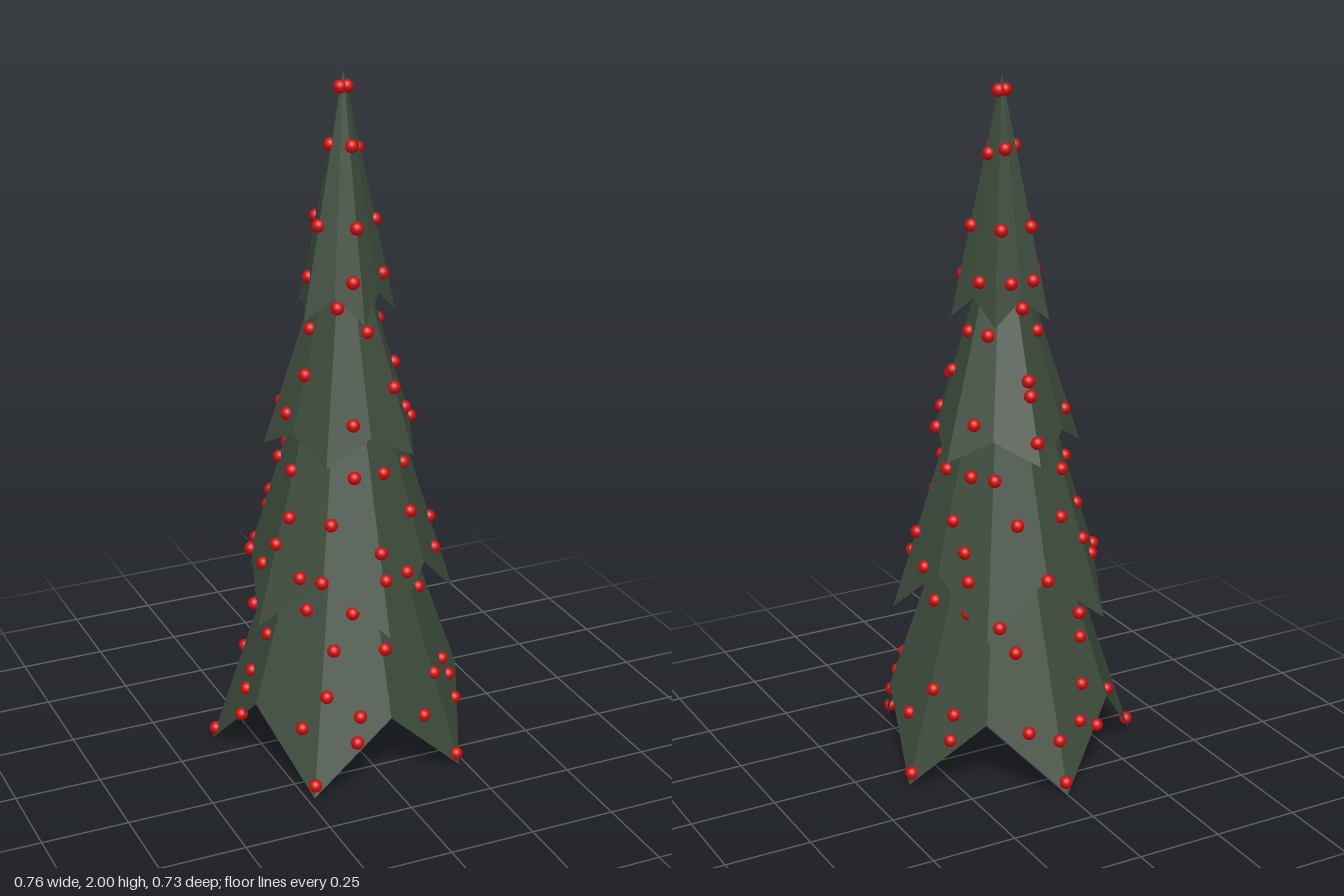
import * as THREE from 'three';

const CENTRE_Z = 0.03;
const STEP = Math.PI / 5;

// Each tier is a five-pointed skirt: low tips alternate with higher notches
const TIERS = [
  { apex: 1.18, tipR: 0.39, tipY: 0.0, notchR: 0.335, notchY: 0.215, turn: 1 },
  { apex: 1.5, tipR: 0.322, tipY: 0.46, notchR: 0.265, notchY: 0.62, turn: 0 },
  { apex: 1.65, tipR: 0.225, tipY: 0.94, notchR: 0.188, notchY: 1.01, turn: 1 },
  { apex: 2.0, tipR: 0.145, tipY: 1.325, notchR: 0.112, notchY: 1.395, turn: 0 },
];

// Bauble rings: height, then angles in degrees from the front towards +x
const RINGS = [
  [1.955, [90, 270]],
  [1.8, [10, 165, 265]],
  [1.785, [90]],
  [1.585, [0, 75, 150, 215, 285]],
  [1.44, [58, 115, 165, 203, 275, 350]],
  [1.37, [180, 328]],
  [1.29, [15, 90, 130, 218, 275]],
  [1.17, [72, 180, 288]],
  [1.13, [35, 180]],
  [1.05, [57, 125, 238, 272, 345]],
  [1.005, [73, 180]],
  [0.895, [15, 48, 90, 122, 145, 215, 250, 285, 346]],
  [0.77, [35, 112, 163, 202, 235, 293, 327]],
  [0.69, [1, 73, 125, 218, 287]],
  [0.615, [2, 20, 62, 92, 130, 180, 235, 252, 275, 308, 323]],
  [0.5, [22, 55, 90, 125, 150, 200, 235, 277, 308, 343]],
  [0.4, [2, 160, 210, 280, 330]],
  [0.275, [37, 55, 110, 202, 272, 327]],
  [0.22, [57, 125, 222, 272, 345]],
  [0.18, [22, 95, 165, 195, 315]],
  [0.15, [55, 125, 180, 205, 275, 343]],
  [0.035, [36, 108, 180, 252, 324]],
];

function tierGeometry(t) {
  const pos = [];
  const rim = (i) => {
    const tip = i % 2 === 0;
    const a = (i + t.turn) * STEP;
    const r = tip ? t.tipR : t.notchR;
    return [r * Math.sin(a), tip ? t.tipY : t.notchY, r * Math.cos(a)];
  };
  for (let i = 0; i < 10; i++) pos.push(0, t.apex, 0, ...rim(i), ...rim(i + 1));
  const geo = new THREE.BufferGeometry();
  geo.setAttribute('position', new THREE.Float32BufferAttribute(pos, 3));
  geo.computeVertexNormals();
  return geo;
}

// Outermost foliage radius at a height and angle
function surfaceRadius(y, angle) {
  let best = 0.01;
  for (const t of TIERS) {
    if (y >= t.apex) continue;
    const turns = (((angle / STEP - t.turn) % 2) + 2) % 2;
    const f = turns > 1 ? 2 - turns : turns; // 0 at a tip, 1 at a notch
    const edgeY = t.tipY + (t.notchY - t.tipY) * f;
    if (y < edgeY - 0.035) continue;
    const rt = t.tipR * (t.apex - y) / (t.apex - t.tipY);
    const rn = t.notchR * (t.apex - y) / (t.apex - t.notchY);
    const r = rt * rn * Math.sin(STEP) /
      (rt * Math.sin(f * STEP) + rn * Math.sin((1 - f) * STEP));
    best = Math.max(best, r);
  }
  return best;
}

export function createModel() {
  const model = new THREE.Group();
  model.name = 'decoratedTree';
  const green = new THREE.MeshStandardMaterial({
    name: 'pine green', color: 0x3c4b3b, flatShading: true, side: THREE.DoubleSide,
  });
  const red = new THREE.MeshStandardMaterial({ name: 'bauble red', color: 0xd00c0c });

  const tree = new THREE.Group();
  tree.name = 'tree';
  tree.position.z = CENTRE_Z;
  model.add(tree);

  // Foliage
  TIERS.forEach((t, i) => {
    const mesh = new THREE.Mesh(tierGeometry(t), green);
    mesh.name = `foliageTier${i + 1}`;
    tree.add(mesh);
  });

  // Baubles, half sunk into the foliage
  const baubles = new THREE.Group();
  baubles.name = 'baubles';
  const ball = new THREE.SphereGeometry(0.019, 16, 12);
  for (const [y, angles] of RINGS) {
    for (const deg of angles) {
      const a = THREE.MathUtils.degToRad(deg);
      const r = surfaceRadius(y, a);
      const mesh = new THREE.Mesh(ball, red);
      mesh.name = 'bauble';
      mesh.position.set(r * Math.sin(a), y, r * Math.cos(a));
      baubles.add(mesh);
    }
  }
  tree.add(baubles);
  return model;
}
